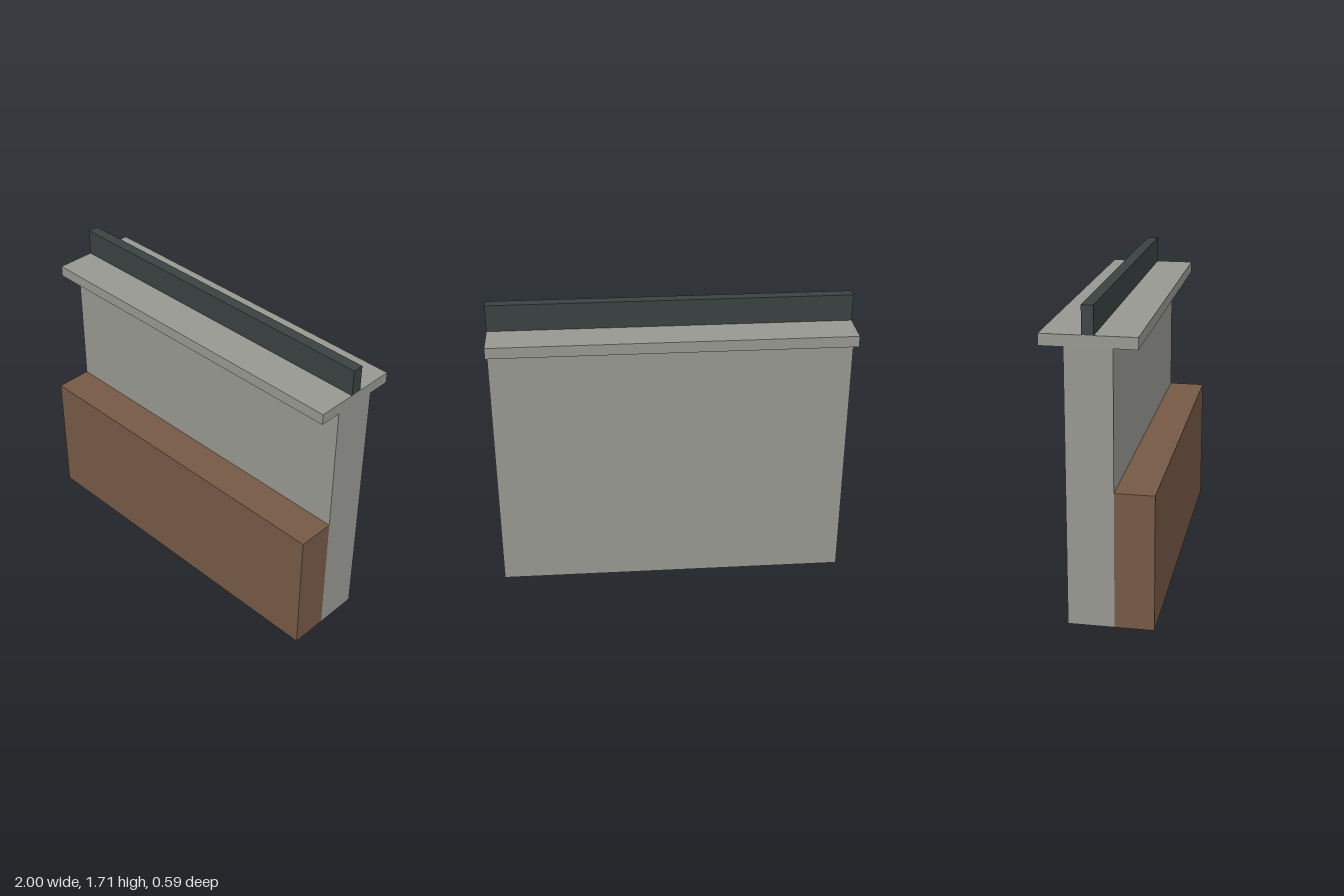
import * as THREE from 'three';

export function createModel() {
  const group = new THREE.Group();

  const makeMaterial = (name, color) => {
    const material = new THREE.MeshStandardMaterial({ color });
    material.name = name;
    return material;
  };
  const stone = makeMaterial('grey stone', 0x979791);
  const earth = makeMaterial('brown earth', 0x755946);
  const metal = makeMaterial('dark metal', 0x3a4141);

  // Full-length bar spanning the given heights and depths
  const addBar = (name, material, y0, y1, z0, z1) => {
    const mesh = new THREE.Mesh(new THREE.BoxGeometry(2, y1 - y0, z1 - z0), material);
    mesh.name = name;
    mesh.position.set(0, (y0 + y1) / 2, (z0 + z1) / 2);
    group.add(mesh);
  };

  // Wall with its overhanging coping
  addBar('wall', stone, 0, 1.5, -0.165, 0.083);
  addBar('coping', stone, 1.5, 1.562, -0.292, 0.208);

  // Raised bank against the front of the wall
  addBar('frontBank', earth, 0, 0.75, 0.083, 0.294);

  // Upright rail along the coping
  addBar('topRail', metal, 1.562, 1.712, -0.074, -0.012);

  return group;
}
